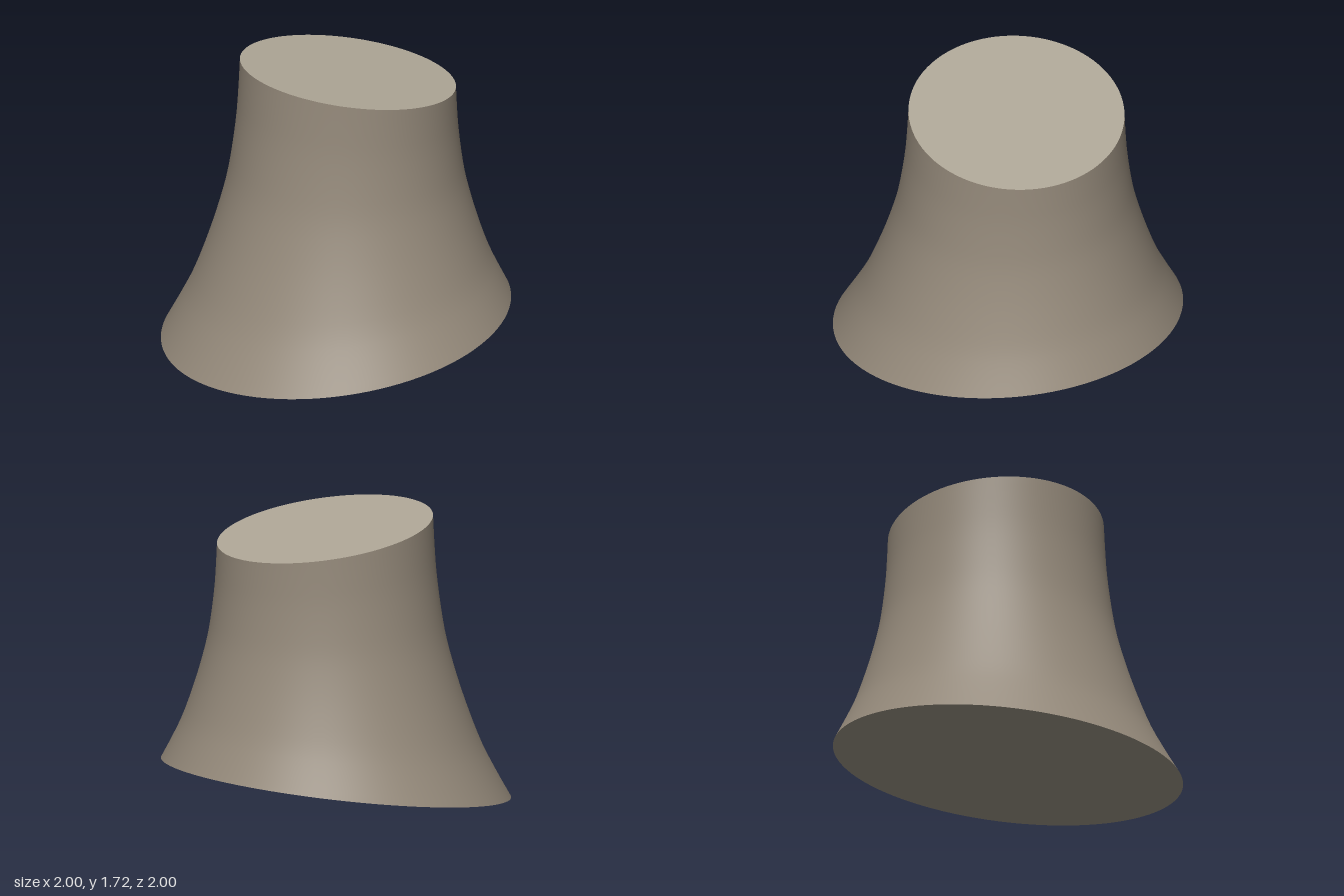
import * as THREE from 'three';
import { toCreasedNormals } from 'three/addons/utils/BufferGeometryUtils.js';

const SIDES = 96;
const ROWS = 24;

// Flared trunk outline: (height fraction, radius)
const profile = new THREE.SplineCurve([
  [0, 1], [0.1, 0.922], [0.2, 0.852], [0.33, 0.782], [0.45, 0.727],
  [0.57, 0.682], [0.68, 0.655], [0.8, 0.634], [0.9, 0.624], [1, 0.617],
].map(([t, r]) => new THREE.Vector2(t, r)));

// Slanted cut planes that end the trunk
const bottomY = (x, z) => 0.16 + 0.1025 * x - 0.1225 * z;
const topY = (x, z) => 1.635 - 0.125 * (x - 0.055) + 0.073 * (z + 0.07);

// Point on the trunk: curve parameter u, direction (dx, dz), scaled from its axis
function trunkPoint(u, dx, dz) {
  const { x: t, y: r } = profile.getPoint(u);
  const lean = (1 - r) / 0.383;
  const cx = 0.055 * lean, cz = -0.07 * lean;
  const low = bottomY(dx, dz);
  const high = topY(0.055 + 0.617 * dx, -0.07 + 0.617 * dz);
  return [cx + r * dx, low + (high - low) * t, cz + r * dz];
}

// Bend a unit cylinder or disc into the trunk shape
function bend(geometry, heightOf) {
  const p = geometry.attributes.position;
  for (let i = 0; i < p.count; i++) {
    p.setXYZ(i, ...trunkPoint(heightOf(p.getY(i)), p.getX(i), p.getZ(i)));
  }
  return toCreasedNormals(geometry, Math.PI / 3);
}

function part(name, geometry, color) {
  const mesh = new THREE.Mesh(geometry, new THREE.MeshStandardMaterial({ color, roughness: 1 }));
  mesh.name = name;
  return mesh;
}

export function createModel() {
  const stump = new THREE.Group();
  stump.name = 'treeStump';

  // Flared side wall
  const wall = new THREE.CylinderGeometry(1, 1, 1, SIDES, ROWS, true);
  stump.add(part('bark', bend(wall, (y) => y + 0.5), 0x94897a));

  // Sawn top and flat underside
  const top = new THREE.CircleGeometry(1, SIDES).rotateX(-Math.PI / 2);
  stump.add(part('cutTop', bend(top, () => 1), 0xb0a898));
  const base = new THREE.CircleGeometry(1, SIDES).rotateX(Math.PI / 2);
  stump.add(part('underside', bend(base, () => 0), 0xa39b8c));

  return stump;
}
